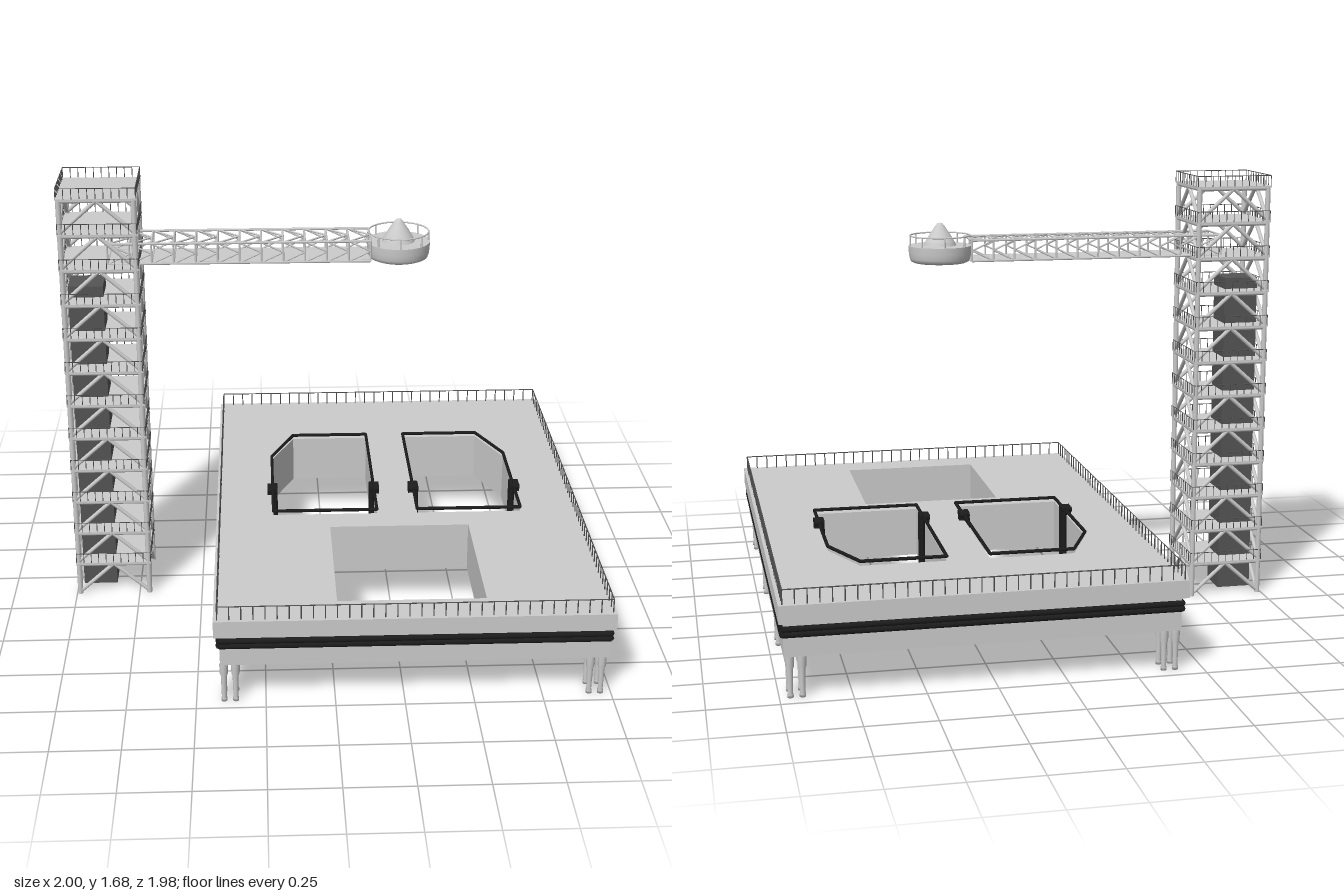
import * as THREE from 'three';
import { mergeGeometries } from 'three/addons/utils/BufferGeometryUtils.js';

const V = (x, y, z) => new THREE.Vector3(x, y, z);
const material = (color) => new THREE.MeshStandardMaterial({ color });
const GREY = material(0xcccccc);
const DARK = material(0x555555);
const BLACK = material(0x1c1c1c);

function part(name, geometries, mat = GREY) {
  const mesh = new THREE.Mesh(mergeGeometries(geometries), mat);
  mesh.name = name;
  return mesh;
}

function box(w, h, d, x, y, z) {
  return new THREE.BoxGeometry(w, h, d).translate(x, y, z);
}

// Bar of radius r between two points; 4 sides for rails, 8 for pipes
function bar(a, b, r, sides = 8) {
  const dir = b.clone().sub(a);
  const geo = new THREE.CylinderGeometry(r, r, dir.length(), sides);
  geo.applyQuaternion(new THREE.Quaternion().setFromUnitVectors(V(0, 1, 0), dir.normalize()));
  const mid = a.clone().add(b).multiplyScalar(0.5);
  return geo.translate(mid.x, mid.y, mid.z);
}

// Closed loop of bars through [x, z] points at height y
function loop(points, y, r, sides) {
  return points.map(([x, z], i) => {
    const [nx, nz] = points[(i + 1) % points.length];
    return bar(V(x, y, z), V(nx, y, nz), r, sides);
  });
}

const rect = (x0, x1, z0, z1) => [[x0, z0], [x1, z0], [x1, z1], [x0, z1]];

// Railing round a rectangle: top rail and evenly spaced posts
function railing(corners, y, height, spacing, r) {
  const out = loop(corners, y + height, r, 4);
  corners.forEach(([x, z], i) => {
    const [nx, nz] = corners[(i + 1) % 4];
    const n = Math.round(Math.hypot(nx - x, nz - z) / spacing);
    for (let k = 0; k < n; k++) {
      const px = x + (nx - x) * k / n, pz = z + (nz - z) * k / n;
      out.push(bar(V(px, y, pz), V(px, y + height, pz), r, 4));
    }
  });
  return out;
}

// Horizontal slab with holes, outlines given as [x, z].
// The outline runs counter-clockwise so that every hole wall faces into its hole.
function slab(outline, holes, y0, y1) {
  const to2D = (pts) => pts.map(([x, z]) => new THREE.Vector2(x, -z));
  const shape = new THREE.Shape(to2D(outline).reverse());
  holes.forEach((h) => shape.holes.push(new THREE.Path(to2D(h))));
  return new THREE.ExtrudeGeometry(shape, { depth: y1 - y0, bevelEnabled: false })
    .rotateX(-Math.PI / 2).translate(0, y0, 0);
}

function createPlatform() {
  const g = new THREE.Group();
  g.name = 'platform';
  const MID = 0.28;
  const leftVent = [[-0.21, 0.15], [-0.21, -0.37], [-0.115, -0.585], [0.2, -0.585], [0.2, 0.15]];
  const rightVent = leftVent.map(([x, z]) => [2 * MID - x, z]);
  const vents = [leftVent, rightVent];
  const holes = [...vents, rect(0.01, 0.55, 0.263, 0.85)];

  g.add(part('deckSlab', [slab(rect(-0.434, 1, -0.99, 0.985), holes, 0.277, 0.342)]));
  g.add(part('hull', [slab(rect(-0.413, 0.984, -0.965, 0.96), holes, 0.152, 0.277)]));
  g.add(part('deckRailing', railing(rect(-0.42, 0.986, -0.976, 0.971), 0.342, 0.053, 0.042, 0.0022), DARK));

  // Two pipes wrapped round the hull
  const belt = rect(-0.415, 0.986, -0.968, 0.963);
  g.add(part('hullPipes', [0.232, 0.252].flatMap((y) => loop(belt, y, 0.011, 8)), BLACK));

  // Pipe frame round each vent, with bundles hanging down both side walls
  const frames = [], bundles = [];
  for (const vent of vents) {
    frames.push(...loop(vent, 0.359, 0.0065, 6));
    const xs = vent.map((p) => p[0]);
    const lo = Math.min(...xs), hi = Math.max(...xs);
    for (const [x, inward] of [[lo, 1], [hi, -1]]) {
      for (const z of [-0.066, -0.045, -0.024]) {
        bundles.push(bar(V(x + inward * 0.009, 0.157, z), V(x + inward * 0.009, 0.375, z), 0.0105));
        bundles.push(bar(V(x - inward * 0.02, 0.366, z), V(x + inward * 0.018, 0.366, z), 0.011));
      }
      bundles.push(box(0.032, 0.026, 0.03, x - inward * 0.005, 0.353, -0.045));
    }
  }
  g.add(part('ventFrames', frames, BLACK), part('ventPipeBundles', bundles, BLACK));

  // Legs in clusters of four, thicker at the top
  const profile = [[0, 0], [0.011, 0], [0.011, 0.012], [0.009, 0.014], [0.011, 0.1],
    [0.015, 0.112], [0.016, 0.155]].map(([r, y]) => new THREE.Vector2(r, y));
  const legs = [];
  for (const cx of [-0.379, 0.941])
    for (const cz of [0.915, 0.266, -0.367, -0.907])
      for (const dx of [-0.021, 0.021])
        for (const dz of [-0.032, 0.032])
          legs.push(new THREE.LatheGeometry(profile, 12).translate(cx + dx, 0, cz + dz));
  g.add(part('legs', legs));
  return g;
}

function createTower() {
  const g = new THREE.Group();
  g.name = 'tower';
  const H = 0.138, LEVELS = 12, STEP = 0.1365;
  const corners = rect(-H, H, -H, H);
  const railLine = rect(-H - 0.009, H + 0.009, -H - 0.009, H + 0.009);
  const frame = [], floors = [], rails = [];

  for (const [x, z] of corners) frame.push(bar(V(x, 0, z), V(x, LEVELS * STEP, z), 0.0105));
  for (let i = 0; i < LEVELS; i++) {
    const y0 = i * STEP, y1 = y0 + STEP;
    frame.push(...loop(corners, y1 - 0.006, 0.009, 8));
    // Two braces per side meeting at the middle of the beam above
    corners.forEach(([x, z], k) => {
      const [nx, nz] = corners[(k + 1) % 4];
      const apex = V((x + nx) / 2, y1 - 0.006, (z + nz) / 2);
      frame.push(bar(V(x, y0 + 0.008, z), apex, 0.008), bar(V(nx, y0 + 0.008, nz), apex, 0.008));
    });
    floors.push(box(2 * H + 0.022, 0.006, 2 * H + 0.022, 0, y1, 0));
    rails.push(...railing(railLine, y1, 0.043, 0.029, 0.0015));
  }
  g.add(part('towerFrame', frame), part('towerFloors', floors), part('towerRailings', rails, DARK));
  g.add(part('liftShaft', [box(0.133, 1.27, 0.133, -0.062, 0.64, 0)], DARK));
  g.position.set(-0.849, 0, -0.006);
  return g;
}

function createArm() {
  const g = new THREE.Group();
  g.name = 'accessArm';
  const X0 = -0.82, PITCH = 0.0825, BAYS = 12, Y0 = 1.369, Y1 = 1.447, Z0 = -0.086, Z1 = 0.08;
  const X1 = X0 + BAYS * PITCH, YM = (Y0 + Y1) / 2, ZM = (Z0 + Z1) / 2;
  const chords = [], braces = [];
  for (const y of [Y0, Y1])
    for (const z of [Z0, Z1]) chords.push(bar(V(X0, y, z), V(X1, y, z), 0.005, 6));
  for (let i = 0; i <= BAYS; i++) {
    const x = X0 + i * PITCH, n = x + PITCH;
    for (const z of [Z0, Z1]) braces.push(bar(V(x, Y0, z), V(x, Y1, z), 0.004, 6));
    for (const y of [Y0, Y1]) braces.push(bar(V(x, y, Z0), V(x, y, Z1), 0.004, 6));
    if (i === BAYS) break;
    // K-shaped bracing on the sides and the roof
    for (const z of [Z0, Z1])
      for (const y of [Y0, Y1]) braces.push(bar(V(x, y, z), V(n, YM, z), 0.0035, 6));
    for (const z of [Z0, Z1]) braces.push(bar(V(x, Y1, z), V(n, Y1, ZM), 0.0035, 6));
  }
  g.add(part('armChords', chords), part('armBraces', braces));
  g.add(part('armWalkway', [box(X1 - X0, 0.004, Z1 - Z0, (X0 + X1) / 2, Y0, ZM)]));
  return g;
}

function createPod() {
  const g = new THREE.Group();
  g.name = 'armPod';
  const lathe = (pts) => new THREE.LatheGeometry(pts.map(([r, y]) => new THREE.Vector2(r, y)), 32);
  // Round cabin with a curved lower edge
  g.add(part('podBody', [
    lathe([[0, 0], [0.1, 0.001], [0.112, 0.006], [0.117, 0.018], [0.12, 0.04], [0.121, 0.066]]),
    lathe([[0.121, 0.066], [0, 0.066]]),
  ]));
  // Cone on the roof, steep at the foot and rounded at the tip
  g.add(part('podCone', [
    lathe([[0.062, 0.066], [0.057, 0.079]]),
    lathe([[0.057, 0.079], [0.04, 0.108], [0.016, 0.143], [0.01, 0.15], [0, 0.153]]),
  ]));
  const rail = [new THREE.TorusGeometry(0.115, 0.003, 6, 40).rotateX(Math.PI / 2).translate(0, 0.104, 0)];
  for (let i = 0; i < 8; i++) {
    const a = i * Math.PI / 4, x = 0.115 * Math.cos(a), z = 0.115 * Math.sin(a);
    rail.push(bar(V(x, 0.066, z), V(x, 0.104, z), 0.0035, 6));
  }
  g.add(part('podRailing', rail));
  g.position.set(0.28, 1.357, -0.002);
  return g;
}

export function createModel() {
  const model = new THREE.Group();
  model.name = 'launchPlatform';
  model.add(createPlatform(), createTower(), createArm(), createPod());
  return model;
}
